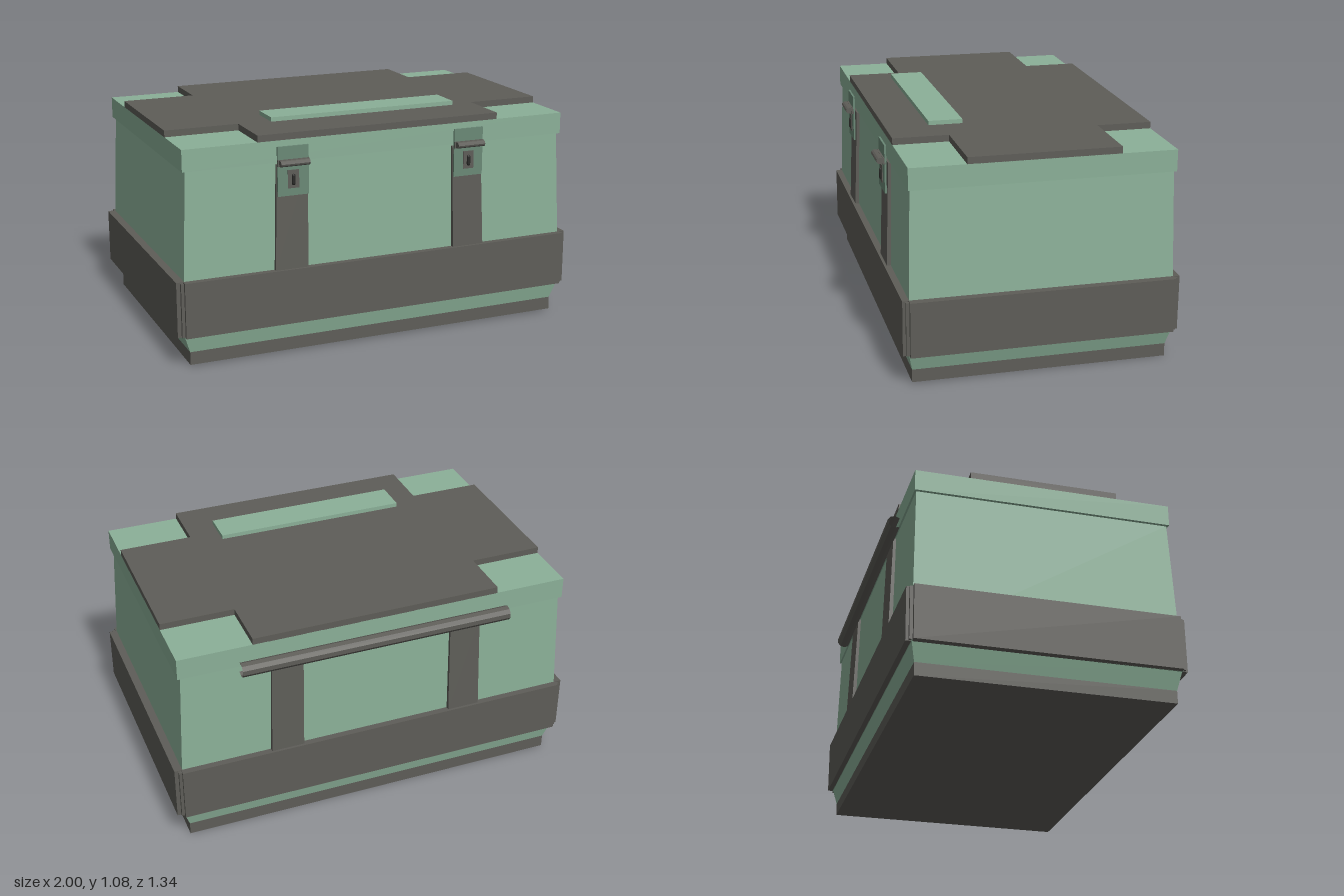
import * as THREE from 'three';

const mat = (color, side = THREE.FrontSide) =>
  new THREE.MeshStandardMaterial({ color, flatShading: true, side });
const green = mat(0x8bb098), dark = mat(0x5e5d58), steel = mat(0x6a8876);
const black = mat(0x2a2a28), hingeMat = mat(0x5e5d58, THREE.DoubleSide);

function add(parent, name, geometry, material) {
  const mesh = new THREE.Mesh(geometry, material);
  mesh.name = name;
  parent.add(mesh);
  return mesh;
}

// Box given by its limits on each axis
function block(parent, name, x0, x1, y0, y1, z0, z1, material) {
  const mesh = add(parent, name, new THREE.BoxGeometry(x1 - x0, y1 - y0, z1 - z0), material);
  mesh.position.set((x0 + x1) / 2, (y0 + y1) / 2, (z0 + z1) / 2);
  return mesh;
}

// Box whose bottom and top rectangles differ: [x0, x1, z0, z1]
function taper(parent, name, y0, y1, bottom, top, material) {
  const g = new THREE.BoxGeometry(1, 1, 1), p = g.attributes.position;
  for (let i = 0; i < p.count; i++) {
    const r = p.getY(i) > 0 ? top : bottom;
    p.setXYZ(i, p.getX(i) > 0 ? r[1] : r[0], p.getY(i) > 0 ? y1 : y0, p.getZ(i) > 0 ? r[3] : r[2]);
  }
  g.computeVertexNormals();
  return add(parent, name, g, material);
}

const rect = (hx, hz) => [-hx, hx, -hz, hz];

function makeLatch(side) {
  const latch = new THREE.Group();
  latch.name = side > 0 ? 'leftLatch' : 'rightLatch';
  block(latch, 'latchPlate', -0.075, 0.075, 0.76, 0.99, 0.625, 0.634, steel);
  block(latch, 'keyPlate', -0.027, 0.027, 0.795, 0.88, 0.632, 0.637, dark);
  // Keyhole boss
  const hole = add(latch, 'keyhole', new THREE.CapsuleGeometry(0.009, 0.035, 3, 8), black);
  hole.position.set(0, 0.835, 0.638);
  // Pivot roller with its flat clip
  const roller = add(latch, 'latchRoller', new THREE.CylinderGeometry(0.015, 0.015, 0.14, 12), dark);
  roller.rotation.z = Math.PI / 2;
  roller.scale.z = 1.3;
  roller.position.set(0, 0.916, 0.651);
  block(latch, 'latchClip', -0.075, 0.075, 0.9, 0.93, 0.63, 0.642, dark);
  latch.position.x = side * 0.443;
  return latch;
}

export function createModel() {
  const model = new THREE.Group();
  model.name = 'storageCase';
  const box = new THREE.Group();
  box.name = 'caseBody';
  model.add(box);

  // Base slab, flared skirt and tapered walls
  block(box, 'base', -0.94, 0.94, 0.005, 0.067, -0.6, 0.6, dark);
  taper(box, 'skirt', 0.067, 0.15, rect(0.94, 0.6), rect(0.968, 0.618), green);
  taper(box, 'walls', 0.15, 0.915, rect(0.975, 0.621), rect(0.94, 0.603), green);

  // Reinforcing band with stepped corners
  block(box, 'bandCore', -0.982, 0.982, 0.153, 0.408, -0.632, 0.632, dark);
  block(box, 'bandFrontBack', -0.968, 0.968, 0.15, 0.412, -0.646, 0.646, dark);
  block(box, 'bandSides', -1, 1, 0.15, 0.412, -0.617, 0.617, dark);

  // Vertical straps and latches
  for (const s of [-1, 1]) {
    for (const f of [-1, 1]) {
      const span = (a, b, zIn, zOut) => [
        Math.min(s * a, s * b), Math.max(s * a, s * b),
        Math.min(f * zIn, f * zOut), Math.max(f * zIn, f * zOut)];
      taper(box, f > 0 ? 'frontStrap' : 'backStrap', 0.41, 0.905,
        span(0.373, 0.532, 0.6, 0.634), span(0.366, 0.517, 0.59, 0.617), dark);
    }
    box.add(makeLatch(s));
  }

  // Lid
  const lid = new THREE.Group();
  lid.name = 'lid';
  box.add(lid);
  block(lid, 'lidShell', -0.955, 0.955, 0.913, 1.015, -0.612, 0.612, green);

  // Cross-shaped cover leaving the four lid corners bare
  const w = 0.955, d = 0.612, a = 0.603, b = 0.352;
  const cross = new THREE.Shape([[a, d], [a, b], [w, b], [w, -b], [a, -b], [a, -d],
    [-a, -d], [-a, -b], [-w, -b], [-w, b], [-a, b], [-a, d]].map(p => new THREE.Vector2(...p)));
  const coverGeo = new THREE.ExtrudeGeometry(cross, { depth: 0.032, bevelEnabled: false });
  coverGeo.rotateX(-Math.PI / 2);
  add(lid, 'lidCover', coverGeo, dark).position.y = 1.014;
  block(lid, 'lidPlate', -0.466, 0.466, 1.057, 1.077, 0.258, 0.418, green);

  // Rear hinge: long open C-shaped rail
  const hinge = new THREE.Group();
  hinge.name = 'hinge';
  for (const r of [0.034, 0.029]) {
    const tube = new THREE.CylinderGeometry(r, r, 1.32, 7, 1, true, Math.PI * 0.25, Math.PI * 1.5);
    tube.rotateZ(Math.PI / 2);
    add(hinge, 'hingeRail', tube, hingeMat);
  }
  hinge.position.set(0.01, 0.913, -0.64);
  box.add(hinge);

  // Slight forward lift of the whole case
  box.rotation.x = -0.008;
  box.position.z = 0.01;
  return model;
}
